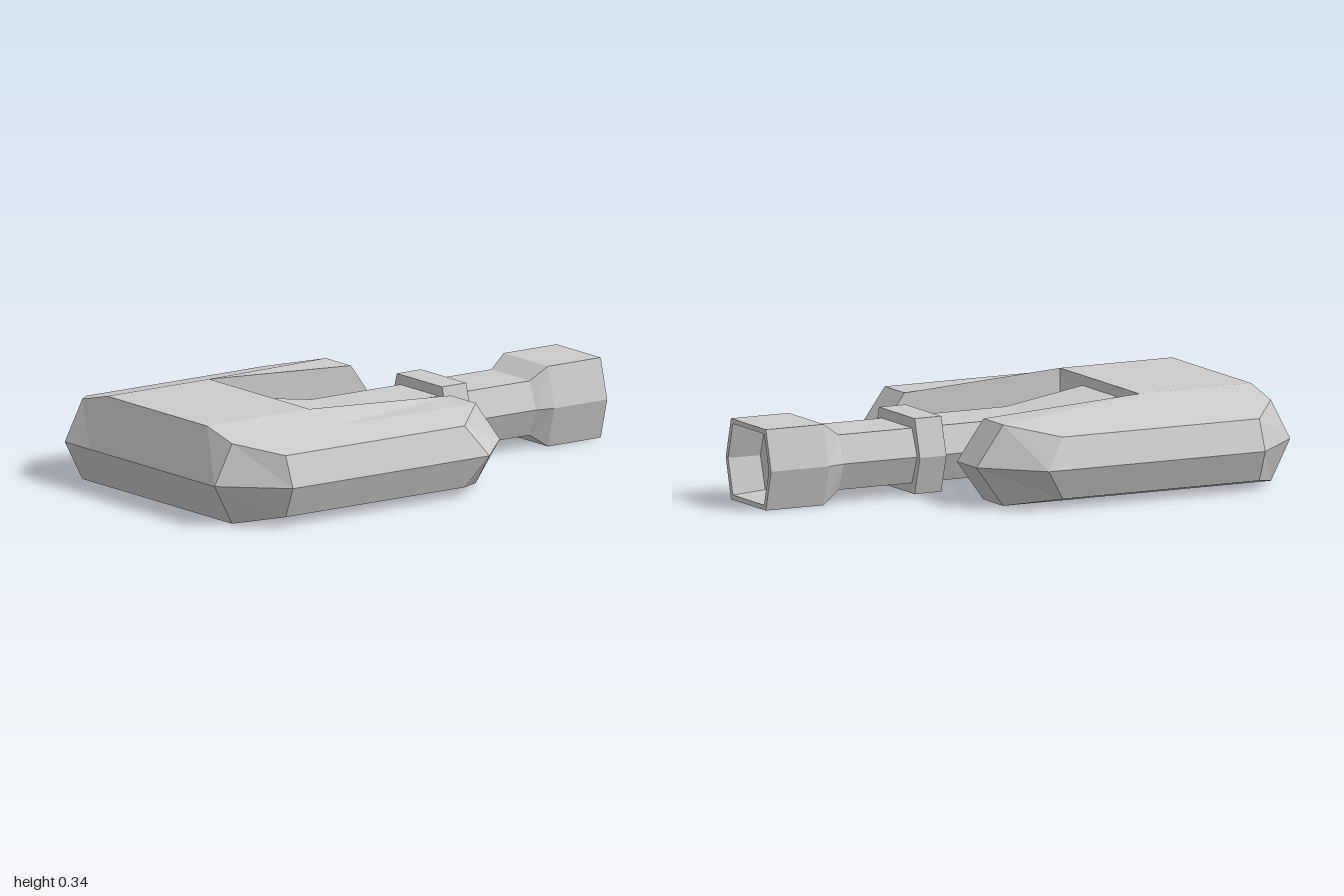
import * as THREE from 'three';

const material = new THREE.MeshStandardMaterial({ color: 0xcccccc, flatShading: true });

// Collects convex polygons (corners counterclockwise from outside) as flat triangles
function meshFromFaces(name, faces) {
  const pos = [];
  for (const f of faces) {
    for (let i = 1; i < f.length - 1; i++) pos.push(...f[0], ...f[i], ...f[i + 1]);
  }
  const geo = new THREE.BufferGeometry();
  geo.setAttribute('position', new THREE.Float32BufferAttribute(pos, 3));
  geo.computeVertexNormals();
  const mesh = new THREE.Mesh(geo, material);
  mesh.name = name;
  return mesh;
}

// Lengthwise section of the shell, running over the top, down the front and back underneath
function shellSection(x, midX, top, backTop, bottom, front, midFront, back, midBack) {
  const slot = 0.455, mid = 0.15;
  return [
    [x, top, slot], [x, top, front], [midX, mid, midFront], [x, bottom, front],
    [x, bottom, slot], [x, bottom, back], [midX, mid, midBack], [x, backTop, back],
  ];
}

function createShell() {
  const inner = shellSection(0.305, 0.305, 0.338, 0.3, 0, 0.92, 1, -0.19, -0.3);
  const middle = shellSection(0.457, 0.457, 0.3, 0.3, 0, 0.92, 1, -0.19, -0.3);
  const outer = shellSection(0.61, 0.655, 0.265, 0.265, 0.035, 0.79, 0.79, -0.025, -0.105);
  const pick = (ring, ids) => ids.map((i) => ring[i]);

  // one arm: skin, outer side and slot wall
  const arm = [];
  for (const [a, b] of [[inner, middle], [middle, outer]]) {
    for (let j = 0; j < 8; j++) {
      const k = (j + 1) % 8;
      arm.push([a[j], a[k], b[k], b[j]]);
    }
  }
  arm.push(pick(outer, [0, 1, 2, 6, 7]), pick(outer, [4, 5, 6, 2, 3]));
  arm.push(pick(inner, [0, 7, 6, 5, 4]));

  // mirrored arm
  const flip = ([x, y, z]) => [-x, y, z];
  const mirrored = arm.map((f) => f.map(flip).reverse());

  // bridge in front of the slot, including the slot's end wall
  const bridge = [];
  for (let j = 0; j < 5; j++) {
    const k = (j + 1) % 5;
    bridge.push([flip(inner[j]), flip(inner[k]), inner[k], inner[j]]);
  }
  return meshFromFaces('forkedShell', [...arm, ...mirrored, ...bridge]);
}

// Hexagonal tube through rings of [z, half width, half flat width, half height]
function hexTube(name, rings, capEnd) {
  const mid = 0.15;
  const loops = rings.map(([z, w, f, h]) => [
    [w, mid, z], [f, mid + h, z], [-f, mid + h, z],
    [-w, mid, z], [-f, mid - h, z], [f, mid - h, z],
  ]);
  const faces = [];
  for (let i = 0; i < loops.length - 1; i++) {
    const p = loops[i], q = loops[i + 1];
    for (let j = 0; j < 6; j++) {
      const k = (j + 1) % 6;
      faces.push([p[j], q[j], q[k], p[k]]);
    }
  }
  if (capEnd) faces.push([...loops[loops.length - 1]].reverse());
  return meshFromFaces(name, faces);
}

export function createModel() {
  const model = new THREE.Group();
  model.name = 'forkedBodyWithStalk';
  model.add(createShell());

  // stalk flares at both ends and has a recessed socket at the back
  model.add(hexTube('stalk', [
    [0.455, 0.175, 0.135, 0.15],
    [0.13, 0.157, 0.117, 0.102],
    [-0.69, 0.157, 0.117, 0.102],
    [-0.76, 0.175, 0.135, 0.15],
    [-1, 0.175, 0.135, 0.15],
    [-1, 0.157, 0.12, 0.132],
    [-0.87, 0.15, 0.113, 0.122],
  ], true));

  // raised band around the stalk
  model.add(hexTube('collar', [
    [-0.275, 0.155, 0.115, 0.1],
    [-0.275, 0.178, 0.138, 0.14],
    [-0.385, 0.178, 0.138, 0.14],
    [-0.385, 0.155, 0.115, 0.1],
  ], false));

  return model;
}
